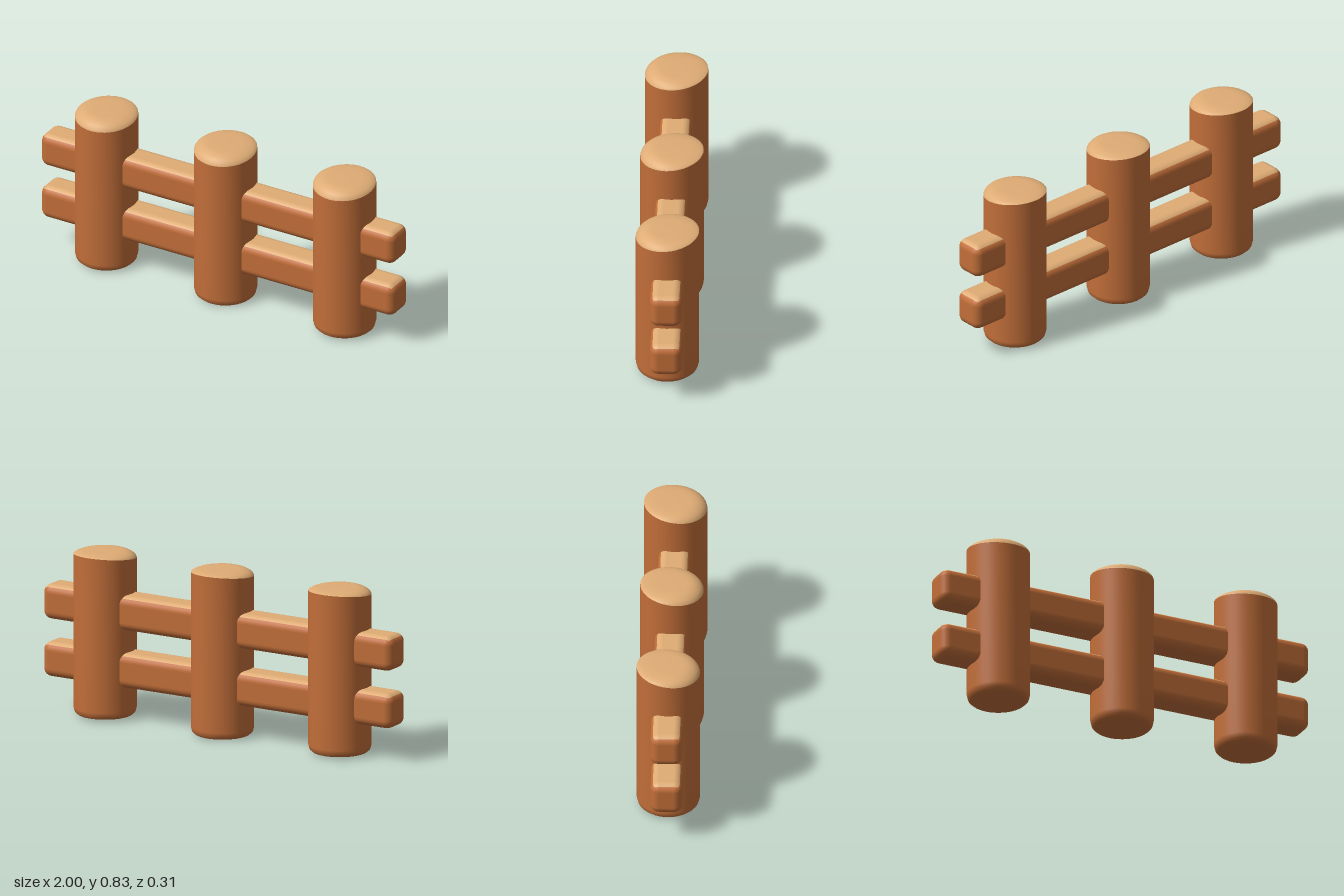
import * as THREE from 'three';
import { mergeVertices } from 'three/addons/utils/BufferGeometryUtils.js';
import { RoundedBoxGeometry } from 'three/addons/geometries/RoundedBoxGeometry.js';

const bark = new THREE.MeshStandardMaterial({ color: 0xc16e39 });
bark.name = 'bark brown';
const cutWood = new THREE.MeshStandardMaterial({ color: 0xdfac75 });
cutWood.name = 'cut wood tan';

const RADIUS = 0.155;
const TOP = 0.835;

// Height of the bark rim: lower at the front, higher at the back
const rimHeight = (z) => 0.807 - 0.018 * (z / RADIUS);

// Lathe whose vertices are moved by a height rule, with seamless smooth normals
function turned(profile, heightRule) {
  let geometry = new THREE.LatheGeometry(profile.map(([r, y]) => new THREE.Vector2(r, y)), 40);
  const p = geometry.attributes.position;
  for (let i = 0; i < p.count; i++) {
    const x = p.getX(i), z = p.getZ(i);
    const r = Math.hypot(x, z);
    // direction-only z, so the whole radial strip follows the same rim point
    const rimZ = r > 1e-5 ? (z / r) * RADIUS : 0;
    p.setY(i, heightRule(p.getY(i), rimZ));
  }
  geometry.deleteAttribute('uv');
  geometry.deleteAttribute('normal');
  geometry = mergeVertices(geometry, 1e-5);
  geometry.computeVertexNormals();
  return geometry;
}

function makePost(name, x, bottom) {
  const post = new THREE.Group();
  post.name = name;

  // Round log with a softened foot; only its upper end follows the sloped rim
  const trunk = new THREE.Mesh(turned(
    [[0, bottom], [0.115, bottom], [0.137, bottom + 0.005], [0.149, bottom + 0.016],
      [RADIUS, bottom + 0.04], [RADIUS, 0.4], [RADIUS, 0.72], [RADIUS, 0.8]],
    (y, z) => (y > 0.75 ? rimHeight(z) : y)), bark);
  trunk.name = 'postTrunk';

  // Rounded cut top rising from the rim to the flat centre
  const cap = new THREE.Mesh(turned(
    [[RADIUS, 0], [0.151, 0.26], [0.14, 0.55], [0.122, 0.8], [0.1, 0.95], [0.075, 1], [0, 1]],
    (t, z) => rimHeight(z) + (TOP - rimHeight(z)) * t), cutWood);
  cap.name = 'postCap';

  post.add(trunk, cap);
  post.position.x = x;
  return post;
}

function makeRail(name, y) {
  // The box's third group is its upper side, shown as bare wood
  const rail = new THREE.Mesh(
    new RoundedBoxGeometry(2, 0.175, 0.157, 4, 0.043),
    [bark, bark, cutWood, bark, bark, bark]);
  rail.name = name;
  rail.position.set(0, y, -0.002);
  return rail;
}

export function createModel() {
  const fence = new THREE.Group();
  fence.name = 'logFence';
  fence.add(
    makePost('rightPost', -0.662, 0.004),
    makePost('middlePost', 0.01, 0),
    makePost('leftPost', 0.682, 0.008),
    makeRail('upperRail', 0.547),
    makeRail('lowerRail', 0.257));
  return fence;
}
